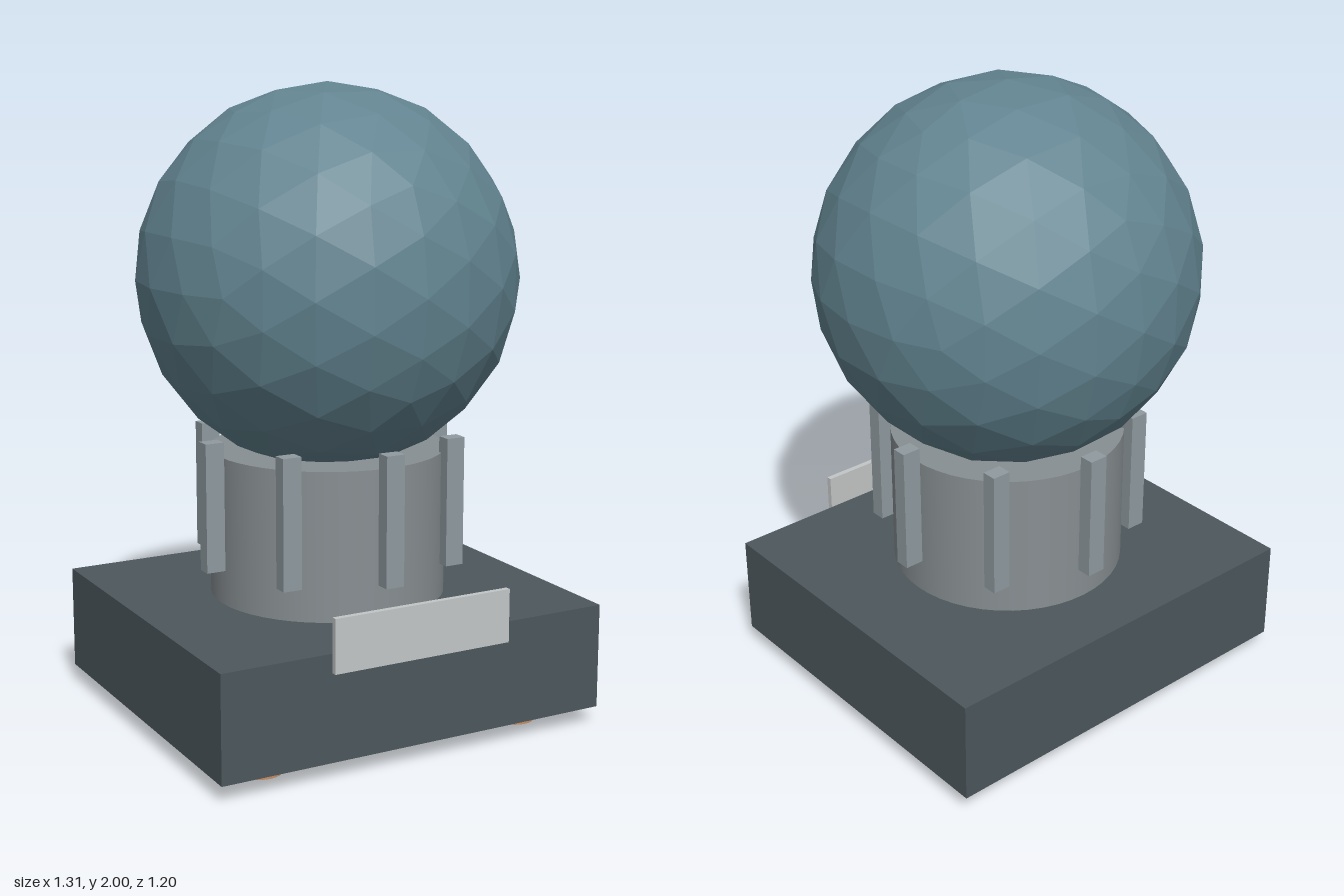
import * as THREE from 'three';

const mat = (name, color, flatShading = false) => {
  const m = new THREE.MeshStandardMaterial({ color, flatShading });
  m.name = name;
  return m;
};

export function createModel() {
  const model = new THREE.Group();
  const glass = mat('blueGrey', 0x628490, true);
  const dark = mat('darkSlate', 0x4c575d);
  const metal = mat('metalGrey', 0x888f92);
  const fin = mat('finGrey', 0x8f9a9f);
  const pale = mat('paleGrey', 0xc3c6c6);
  const copper = mat('copper', 0xc58d65);

  const add = (name, geometry, material, x, y, z) => {
    const mesh = new THREE.Mesh(geometry, material);
    mesh.name = name;
    mesh.position.set(x, y, z);
    model.add(mesh);
  };

  // Faceted globe resting in the collar
  add('globe', new THREE.IcosahedronGeometry(0.6, 3), glass, 0, 1.4, 0);

  // Pedestal
  add('base', new THREE.BoxGeometry(1.31, 0.335, 1.16), dark, 0, 0.2225, 0);
  add('collar', new THREE.CylinderGeometry(0.375, 0.375, 0.47, 48), metal, 0, 0.625, 0);
  add('frontPlate', new THREE.BoxGeometry(0.6, 0.168, 0.018), pale, 0, 0.416, 0.591);

  // Ring of eight upright posts, all aligned with the base
  const post = new THREE.BoxGeometry(0.062, 0.41, 0.048);
  for (let i = 0; i < 8; i++) {
    const a = (i * Math.PI) / 4;
    add('post', post, fin, Math.cos(a) * 0.405, 0.706, Math.sin(a) * 0.405);
  }

  // Two front feet
  const foot = new THREE.CylinderGeometry(0.066, 0.066, 0.055, 24);
  for (const side of [-1, 1]) add('foot', foot, copper, side * 0.45, 0.0275, 0.415);

  return model;
}
